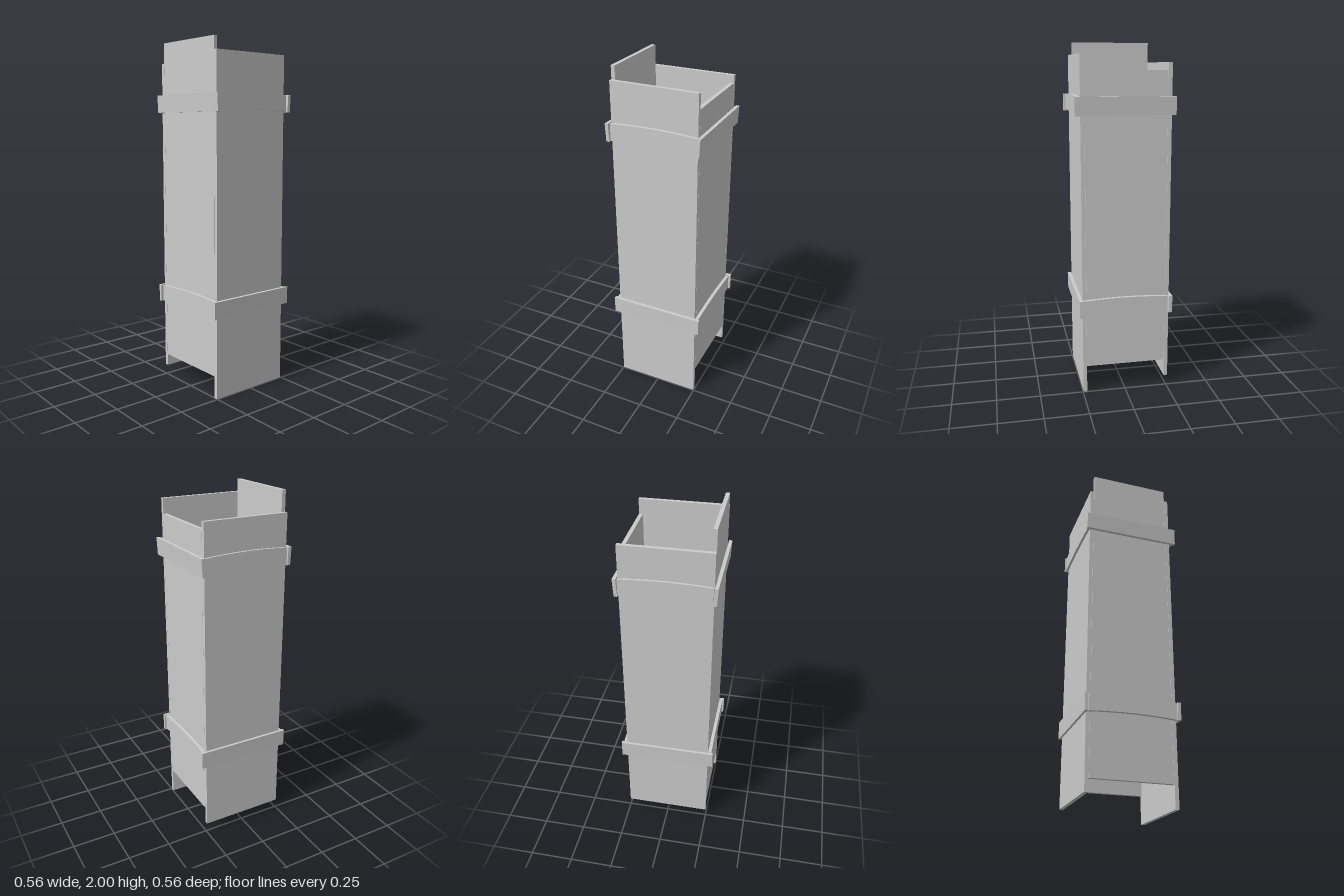
import * as THREE from 'three';

const material = new THREE.MeshStandardMaterial({ color: 0xcccccc, flatShading: true });

// Board given by its extents on each axis
function board(name, [x0, x1], [y0, y1], [z0, z1]) {
  const mesh = new THREE.Mesh(new THREE.BoxGeometry(x1 - x0, y1 - y0, z1 - z0), material);
  mesh.position.set((x0 + x1) / 2, (y0 + y1) / 2, (z0 + z1) / 2);
  mesh.name = name;
  return mesh;
}

// Batten lying along x and facing +z; bow lifts its middle, tilt leans its top outward
function batten(name, length, height, thickness, bow, tilt) {
  const geometry = new THREE.BoxGeometry(length, height, thickness, bow ? 10 : 1, 1, 1);
  const p = geometry.attributes.position;
  for (let i = 0; i < p.count; i++) {
    const t = p.getX(i) / (length / 2);
    p.setY(i, p.getY(i) + bow * (1 - t * t));
    p.setZ(i, p.getZ(i) + tilt * p.getY(i));
  }
  geometry.computeVertexNormals();
  const mesh = new THREE.Mesh(geometry, material);
  mesh.name = name;
  return mesh;
}

// Four battens around the shaft: one pair runs past the corners, the other fits between
function band(name, y, longOnSides, tilt) {
  const group = new THREE.Group();
  group.name = name;
  ['front', 'left', 'back', 'right'].forEach((side, i) => {
    const long = (i % 2 === 1) === longOnSides;
    const mesh = batten(
      side + 'Batten', long ? 0.558 : 0.496, long ? 0.1 : 0.094, 0.019,
      long ? 0 : 0.01, long ? tilt : 0);
    const angle = i * Math.PI / 2;
    const distance = [0.257, 0.26, 0.263, 0.26][i];
    mesh.position.set(Math.sin(angle) * distance, 0, Math.cos(angle) * distance);
    mesh.rotation.y = angle;
    group.add(mesh);
  });
  group.position.y = y;
  return group;
}

export function createModel() {
  const model = new THREE.Group();
  model.name = 'woodenShaft';

  // Upright boards of unequal length
  model.add(
    board('frontBoard', [-0.25, 0.247], [0, 1.928], [0.225, 0.247]),
    board('backBoard', [-0.25, 0.247], [0.058, 1.885], [-0.259, -0.237]),
    board('leftBoard', [0.225, 0.247], [0.16, 1.842], [-0.236, 0.224]),
    board('rightBoard', [-0.25, -0.228], [0.128, 2], [-0.236, 0.224]));

  // Bands holding the boards together
  model.add(
    band('upperBand', 1.654, true, 0.05),
    band('lowerBand', 0.519, false, 0.02));
  return model;
}
